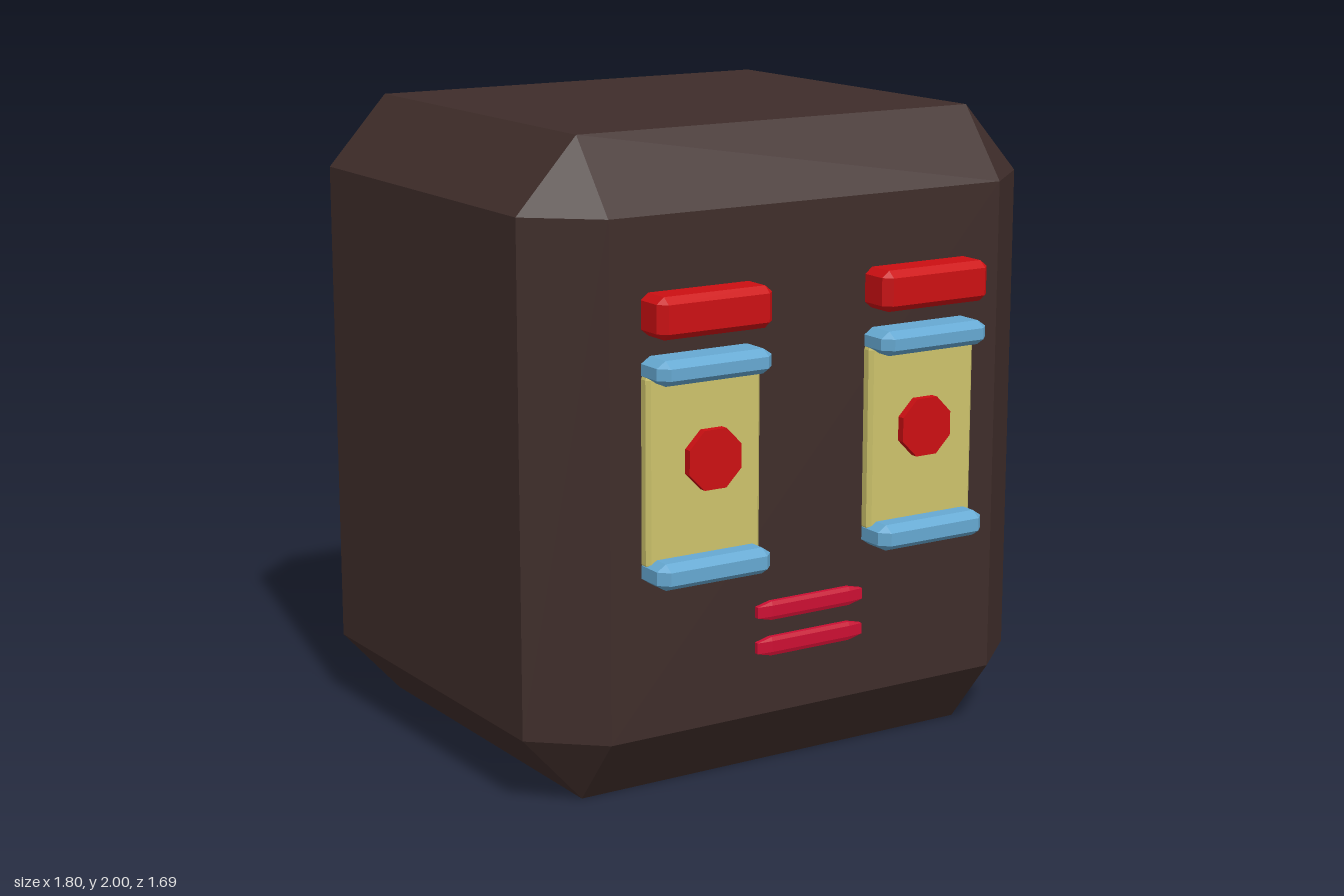
import * as THREE from 'three';
import { ConvexGeometry } from 'three/addons/geometries/ConvexGeometry.js';

const mat = (color) => new THREE.MeshStandardMaterial({ color, flatShading: true });

// Box with bevelled edges and triangular corners, given by its limits and bevel size per axis
function bevelBox(name, min, max, bevel, material) {
  const centre = min.map((v, i) => (v + max[i]) / 2);
  const half = min.map((v, i) => (max[i] - v) / 2);
  const points = [];
  for (const sx of [-1, 1]) for (const sy of [-1, 1]) for (const sz of [-1, 1]) {
    const sign = [sx, sy, sz];
    // three points per corner, each lying on one face
    for (let face = 0; face < 3; face++) {
      points.push(new THREE.Vector3(...sign.map((s, i) => s * (half[i] - (i === face ? 0 : bevel[i])))));
    }
  }
  const mesh = new THREE.Mesh(new ConvexGeometry(points), material);
  mesh.name = name;
  mesh.position.set(...centre);
  return mesh;
}

export function createModel() {
  const group = new THREE.Group();
  group.name = 'blockHead';
  const brown = mat(0x3f2d2a);
  const red = mat(0xcc0f12);
  const blue = mat(0x66a9d2);
  const yellow = mat(0xcdc36b);
  const crimson = mat(0xcc0f33);

  // Head block
  group.add(bevelBox('head', [-0.9, 0, -0.84], [0.9, 2, 0.73], [0.2, 0.22, 0.175], brown));

  // Eyes: brow, two lids, eye panel and octagonal pupil
  for (const [side, x, pupilX] of [['right', -0.397, -0.377], ['left', 0.392, 0.392]]) {
    const eye = new THREE.Group();
    eye.name = side + 'Eye';
    const bar = (name, y0, y1, z, bevel, material) =>
      eye.add(bevelBox(name, [x - 0.197, y0, 0.66], [x + 0.197, y1, z], bevel, material));
    bar('brow', 1.435, 1.56, 0.84, [0.025, 0.02, 0.025], red);
    bar('upperLid', 1.3, 1.375, 0.845, [0.03, 0.02, 0.03], blue);
    bar('lowerLid', 0.695, 0.775, 0.845, [0.03, 0.02, 0.03], blue);
    bar('eyePanel', 0.73, 1.34, 0.765, [0.012, 0.03, 0.012], yellow);

    const pupil = new THREE.Mesh(
      new THREE.CylinderGeometry(0.097, 0.097, 0.09, 8).rotateY(Math.PI / 8).rotateX(Math.PI / 2), red);
    pupil.name = 'pupil';
    pupil.position.set(pupilX, 1.057, 0.745);
    eye.add(pupil);
    group.add(eye);
  }

  // Mouth
  for (const [name, y] of [['upperLip', 0.547], ['lowerLip', 0.435]]) {
    group.add(bevelBox(name, [-0.195, y - 0.029, 0.68], [0.19, y + 0.029, 0.75], [0.05, 0.012, 0.005], crimson));
  }
  return group;
}
